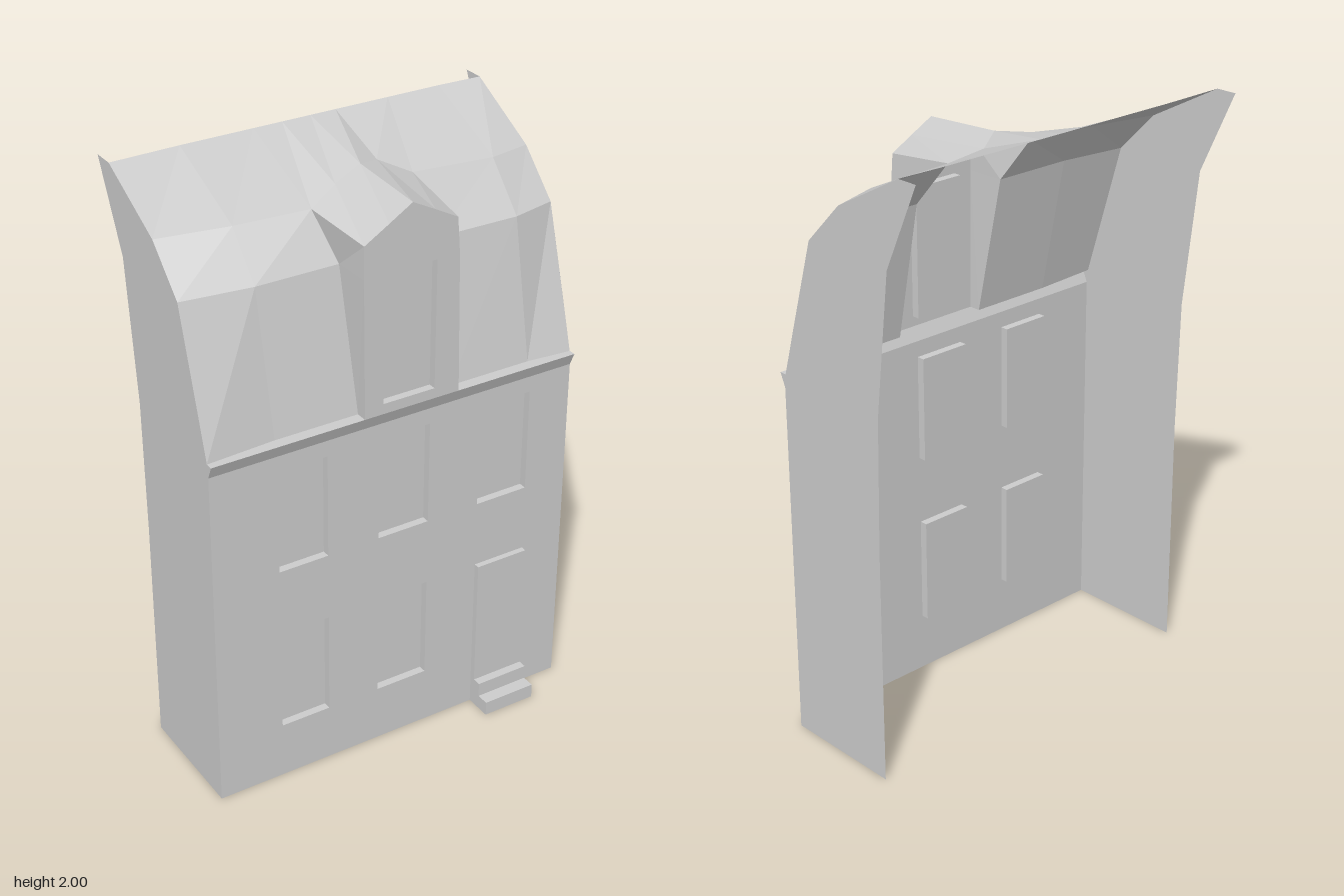
import * as THREE from 'three';

const material = new THREE.MeshStandardMaterial({ color: 0xcccccc, flatShading: true, side: THREE.DoubleSide });
const W = 0.655; // half width
const WALL = 0.265, DORMER = 0.285; // z of the two front planes

function mesh(name, geometry, parent) {
  const m = new THREE.Mesh(geometry, material);
  m.name = name;
  parent.add(m);
  return m;
}

// Surface through rows of points; rows run left to right, bottom to top
function loft(rows) {
  const pos = [];
  for (let r = 0; r + 1 < rows.length; r++) {
    const a = rows[r], b = rows[r + 1];
    for (let i = 0; i + 1 < a.length; i++) {
      pos.push(...a[i], ...a[i + 1], ...b[i + 1], ...a[i], ...b[i + 1], ...b[i]);
    }
  }
  const g = new THREE.BufferGeometry();
  g.setAttribute('position', new THREE.Float32BufferAttribute(pos, 3));
  g.computeVertexNormals();
  return g;
}

const polygon = (pts) => new THREE.Shape(pts.map(([x, y]) => new THREE.Vector2(x, y)));
const rectangle = ([x0, x1, y0, y1]) => [[x0, y0], [x1, y0], [x1, y1], [x0, y1]];

function wallWithHoles(points, holes, z) {
  const shape = polygon(points);
  holes.forEach((h) => shape.holes.push(polygon(rectangle(h).reverse())));
  return new THREE.ShapeGeometry(shape).translate(0, 0, z);
}

// Flat panel set in or out of the wall, joined to it by its reveal
function addPanel(name, rect, zWall, zPane, parent, openBottom = false) {
  const group = new THREE.Group();
  group.name = name;
  parent.add(group);
  const c = rectangle(rect);
  const loop = openBottom ? [c[1], c[2], c[3], c[0]] : [...c, c[0]];
  mesh('pane', wallWithHoles(c, [], zPane), group);
  mesh('reveal', loft([zWall, zPane].map((z) => loop.map(([x, y]) => [x, y, z]))), group);
}

// Upright sheet from a (z, y) outline, facing +x or -x
function sideSheet(outline, x, facing) {
  const g = new THREE.ShapeGeometry(polygon(outline.map(([z, y]) => [-facing * z, y])));
  return g.rotateY(facing * Math.PI / 2).translate(x, 0, 0);
}

export function createModel() {
  const house = new THREE.Group();
  house.name = 'house';

  // Front wall with windows and a notch for the door
  const columns = [[-0.425, -0.25], [-0.065, 0.12], [0.31, 0.5]];
  const door = [0.31, 0.5, 0, 0.56];
  const windows = [];
  columns.forEach((c, i) => {
    windows.push([...c, 0.795, 1.155]);
    if (i < 2) windows.push([...c, 0.2, 0.56]);
  });
  mesh('frontWall', wallWithHoles([
    [-W, 0], [door[0], 0], [door[0], door[3]], [door[1], door[3]], [door[1], 0],
    [W, 0], [W, 1.21], [-W, 1.21],
  ], windows, WALL), house);
  windows.forEach((w) => addPanel('window', w, WALL, WALL - 0.027, house));
  addPanel('door', door, WALL, 0.285, house, true);

  // Door steps
  const stepProfile = [[0.36, 0], [0.36, 0.05], [0.315, 0.05], [0.315, 0.1], [0.285, 0.1]];
  const steps = new THREE.Group();
  steps.name = 'steps';
  house.add(steps);
  mesh('treadsAndRisers', loft(stepProfile.map(([z, y]) => [[door[0], y, z], [door[1], y, z]])), steps);
  [[door[0], -1], [door[1], 1]].forEach(([x, f]) =>
    mesh('stepSide', sideSheet([[0.285, 0], ...stepProfile], x, f), steps));

  // Side walls, rising to a backward point
  const sideOutline = [
    [-0.16, 0], [WALL, 0], [WALL, 1.21], [0.285, 1.255], [0.26, 1.255], [0.217, 1.4], [0.12, 1.72],
    [-0.02, 1.86], [-0.282, 2], [-0.355, 2], [-0.225, 1.72], [-0.17, 1.25], [-0.16, 0.8],
  ];
  [-1, 1].forEach((s) => mesh('sideWall', sideSheet(sideOutline, s * W, s), house));

  // Cornice flaring out along the wall top, with a ledge on each side of the dormer
  mesh('cornice', loft([
    [-W, -0.2, 0.26, W].map((x) => [x, 1.21, WALL]),
    [-W, -0.13, 0.21, W].map((x) => [x, 1.255, DORMER]),
  ]), house);

  // Lower roof: eave, break and upper break on each side of the dormer
  const leftRows = [
    [[-W, 1.255, 0.26], [-0.42, 1.255, 0.245], [-0.13, 1.255, 0.245]],
    [[-W, 1.72, 0.12], [-0.42, 1.72, 0.15], [-0.137, 1.72, 0.15]],
    [[-W, 1.86, -0.02], [-0.42, 1.862, 0.025], [-0.17, 1.865, 0.05]],
  ];
  const rightRows = [
    [[0.21, 1.255, 0.245], [0.5, 1.255, 0.245], [W, 1.255, 0.26]],
    [[0.213, 1.72, 0.15], [0.5, 1.72, 0.155], [W, 1.72, 0.12]],
    [[0.21, 1.88, 0.01], [0.5, 1.867, 0.02], [W, 1.86, -0.02]],
  ];
  [leftRows, rightRows].forEach((rows) => {
    mesh('lowerRoof', loft(rows), house);
    mesh('ledge', loft([rows[0].map(([x, y]) => [x, y, DORMER]), rows[0]]), house);
  });

  // Upper roof, its front edge rising over the dormer
  const dormerBack = [
    leftRows[2][2], [-0.07, 1.91, 0.02], [0.03, 1.945, 0], [0.12, 1.92, -0.05], rightRows[2][0],
  ];
  const upperFront = [...leftRows[2].slice(0, 2), ...dormerBack, ...rightRows[2].slice(1)];
  const topX = [-W, -0.42, -0.17, -0.07, 0.03, 0.12, 0.31, 0.5, W];
  const top = topX.map((x) => [x, 2, Math.abs(x) === W ? -0.282 : -0.288]);
  mesh('upperRoof', loft([upperFront, top]), house);

  // Dormer: gabled front, roof and splayed cheeks
  const dormer = new THREE.Group();
  dormer.name = 'dormer';
  house.add(dormer);
  const gable = [[-0.135, 1.83], [-0.05, 1.881], [0.03, 1.93], [0.11, 1.888], [0.19, 1.845]];
  const leftEdge = [[-0.13, 1.255], [-0.135, 1.72], gable[0]];
  const rightEdge = [[0.21, 1.255], [0.2, 1.72], gable[4]];
  const dormerWindow = [-0.065, 0.12, 1.29, 1.725];
  const toFront = ([x, y]) => [x, y, DORMER];
  mesh('dormerFront', wallWithHoles(
    [leftEdge[0], ...rightEdge, ...gable.slice(0, 4).reverse(), leftEdge[1]], [dormerWindow], DORMER), dormer);
  addPanel('dormerWindow', dormerWindow, DORMER, DORMER - 0.027, dormer);
  mesh('dormerRoof', loft([gable.map(toFront), dormerBack]), dormer);
  mesh('leftCheek', loft(leftEdge.map((p, i) => [leftRows[i][2], toFront(p)])), dormer);
  mesh('rightCheek', loft(rightEdge.map((p, i) => [toFront(p), rightRows[i][0]])), dormer);

  return house;
}
